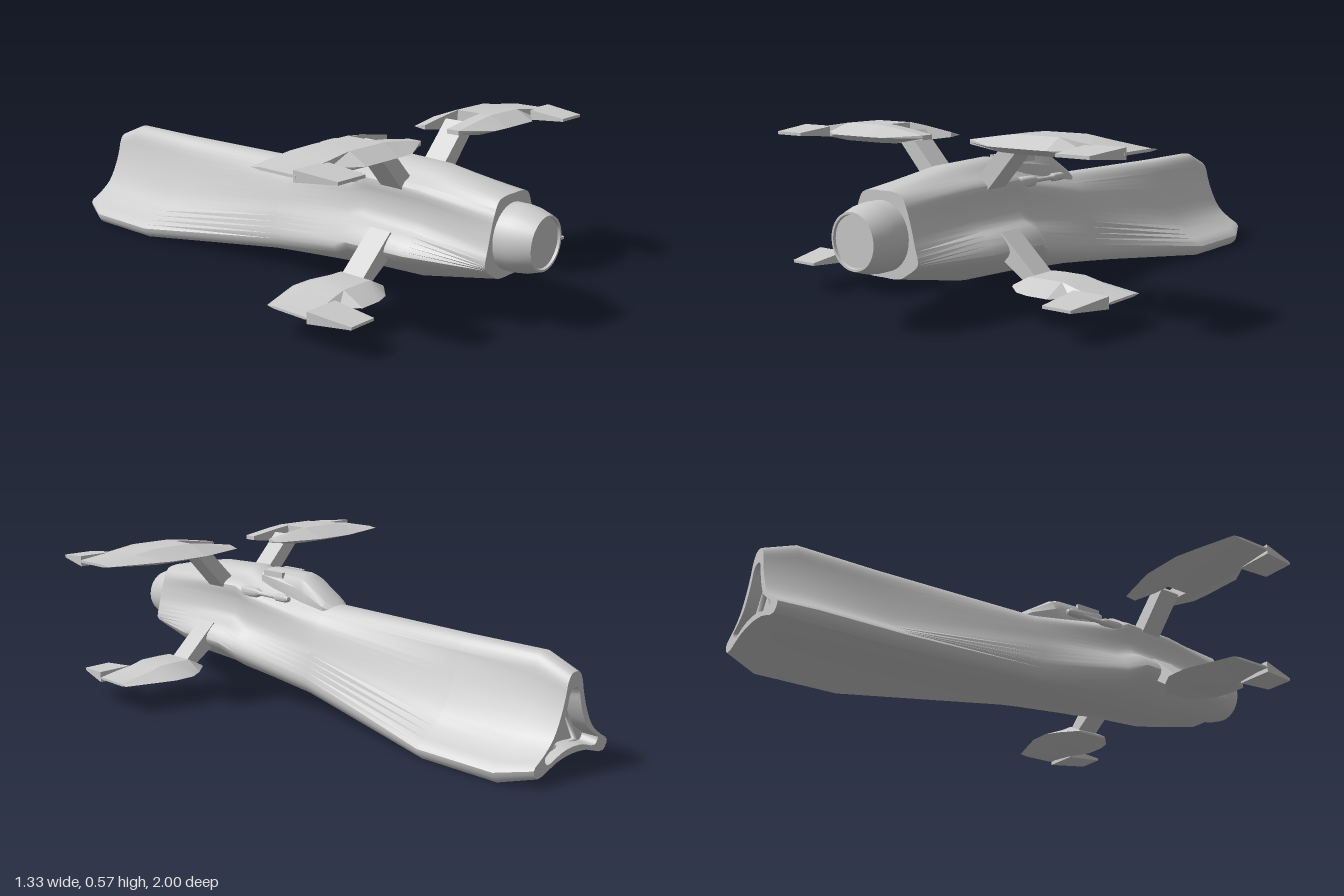
import * as THREE from 'three';
import { toCreasedNormals } from 'three/addons/utils/BufferGeometryUtils.js';

const material = new THREE.MeshStandardMaterial({ color: 0xcccccc, side: THREE.DoubleSide });
const V = (x, y, z) => new THREE.Vector3(x, y, z);

// Skins a row of closed cross-sections, caps both ends and faces them outward.
function loft(sections, crease = 0.3) {
  const tris = [];
  const n = sections[0].length;
  for (let s = 0; s < sections.length - 1; s++) {
    for (let i = 0; i < n; i++) {
      const j = (i + 1) % n, p = sections[s], q = sections[s + 1];
      tris.push([p[i], p[j], q[j]], [p[i], q[j], q[i]]);
    }
  }
  const cap = (sec, flip) => {
    const mid = sec.reduce((m, v) => m.add(v), V(0, 0, 0)).divideScalar(n);
    sec.forEach((v, i) => {
      const w = sec[(i + 1) % n];
      tris.push(flip ? [mid, w, v] : [mid, v, w]);
    });
  };
  cap(sections[0], true);
  cap(sections[sections.length - 1], false);
  const cross = V(0, 0, 0);
  const volume = tris.reduce((sum, [a, b, c]) => sum + a.dot(cross.crossVectors(b, c)), 0);
  const flat = [];
  for (const [a, b, c] of tris) {
    for (const v of volume > 0 ? [a, b, c] : [a, c, b]) flat.push(v.x, v.y, v.z);
  }
  const geometry = new THREE.BufferGeometry();
  geometry.setAttribute('position', new THREE.Float32BufferAttribute(flat, 3));
  return toCreasedNormals(geometry, crease);
}

function add(group, name, geometry) {
  const mesh = new THREE.Mesh(geometry, material);
  mesh.name = name;
  group.add(mesh);
  return mesh;
}

// Half profiles [x, y] of the hull, from the spine to the keel
const collar = [[0, .41], [.04, .41], [.08, .40], [.1, .365], [.115, .32], [.13, .26], [.142, .21], [.135, .195], [.1, .17], [.065, .152], [0, .15]];
const shoulder = [[0, .467], [.04, .46], [.08, .43], [.13, .40], [.125, .35], [.14, .28], [.19, .25], [.225, .2], [.19, .155], [.1, .1], [0, .09]];
const waist = [[0, .372], [.03, .368], [.06, .35], [.09, .32], [.11, .28], [.125, .23], [.14, .17], [.152, .11], [.13, .07], [.07, .065], [0, .065]];
const tail = [[0, .365], [.025, .36], [.045, .335], [.06, .28], [.085, .21], [.13, .13], [.19, .08], [.247, .04], [.222, .003], [.1, .035], [0, .045]];

const blend = (a, b, t) => a.map(([x, y], i) => [x + (b[i][0] - x) * t, y + (b[i][1] - y) * t]);
const shrink = (profile, k) => profile.map(([x, y]) => [x * k, 0.14 + (y - 0.14) * k]);

function hullGeometry() {
  const stations = [
    [0.88, collar],
    [0.62, blend(shoulder, collar, 0.15)],
    [0.40, shoulder],
    [0.33, blend(shoulder, waist, 0.35)],
    [0, waist],
    [-0.6, tail],
    [-0.89, tail],
    [-1, shrink(tail, 0.8)],
    // Recess in the tail face
    [-1, shrink(tail, 0.58)],
    [-0.95, shrink(tail, 0.53)],
  ];
  return loft(stations.map(([z, half]) => {
    const left = half.map(([x, y]) => V(x, y, z));
    const right = half.slice(1, -1).reverse().map(([x, y]) => V(-x, y, z));
    return new THREE.CatmullRomCurve3([...left, ...right], true).getPoints(60).slice(0, -1);
  }), 0.65);
}

// Blade stations: x, rear z, front z, top y, bottom y
const upperWing = {
  edge: 0.535, slotEnd: 0.285, flat: [0.46, 0.6],
  stations: [[.1, .42, .6, .545, .53], [.22, .385, .66, .563, .513], [.285, .367, .665, .57, .511],
    [.44, .365, .665, .57, .511], [.53, .387, .602, .557, .518], [.665, .425, .6, .54, .531]],
  prong: [[.53, .665, .59, .518, .554], [.525, .64, .733, .53, .54]],
  strut: [[.105, .40, .055], [.23, .535, .05]],
};
const lowerWing = {
  edge: 0.102, slotEnd: 0, flat: [0.46, 0.58],
  stations: [[.25, .455, .585, .106, .098], [.31, .4, .64, .138, .084], [.36, .37, .655, .14, .079],
    [.435, .37, .655, .14, .079], [.48, .385, .602, .128, .085], [.61, .43, .6, .106, .098]],
  prong: [[.485, .61, .59, .086, .124], [.48, .58, .735, .098, .107]],
  strut: [[.16, .23, .07], [.31, .112, .04]],
};
const slot = [0.465, 0.555];

function addWing(parent, name, wing, side) {
  const group = new THREE.Group();
  group.name = name;
  const { edge, flat, slotEnd, stations } = wing;
  const section = ([x, rear, front, top, bottom], part) => {
    const a = Math.max(flat[0], rear), b = Math.min(flat[1], front);
    const rearLine = [[a, bottom], [rear, edge], [a, top]];
    const frontLine = [[b, top], [front, edge], [b, bottom]];
    const points = part === 'front' ? [[slot[1], top], ...frontLine, [slot[1], bottom]]
      : part === 'rear' ? [[slot[0], bottom], ...rearLine, [slot[0], top]]
        : [...rearLine, ...frontLine];
    return points.map(([z, y]) => V(side * x, y, z));
  };
  const inner = stations.filter(s => s[0] <= slotEnd);
  const outer = stations.filter(s => s[0] >= slotEnd);
  add(group, 'blade', loft(outer.map(s => section(s, 'whole'))));
  // Two strips flank the open strut slot
  if (inner.length) {
    for (const part of ['front', 'rear']) add(group, part + 'SlotStrip', loft(inner.map(s => section(s, part))));
  }
  // Forward prong at the wing tip
  add(group, 'tipProng', loft(wing.prong.map(([x0, x1, z, y0, y1]) =>
    [V(side * x0, y0, z), V(side * x1, y0, z), V(side * x1, y1, z), V(side * x0, y1, z)])));
  // Tapered strut from the hull to the blade
  const [p, q] = wing.strut;
  const dir = new THREE.Vector2(q[0] - p[0], q[1] - p[1]).normalize();
  add(group, 'strut', loft(wing.strut.map(([x, y, t]) => [[1, .468], [1, .552], [-1, .552], [-1, .468]].map(
    ([k, z]) => V(side * (x - dir.y * k * t / 2), y + dir.x * k * t / 2, z)))));
  parent.add(group);
}

// Turned shape along z from [radius, z] points
function turned(profile, segments) {
  const g = new THREE.LatheGeometry(profile.map(([r, z]) => new THREE.Vector2(r, z)), segments);
  return toCreasedNormals(g.rotateX(Math.PI / 2), 0.6);
}

export function createModel() {
  const model = new THREE.Group();
  model.name = 'spacecraft';
  add(model, 'hull', hullGeometry());

  // Round nose with a slightly sunken front face
  const nose = add(model, 'nose', turned([[0, .86], [.107, .86], [.107, .92], [.102, .955], [.087, 1], [.08, 1], [.078, .992], [0, .992]], 32));
  nose.position.y = 0.275;

  // Canopy hump: z, half width, base y, top y
  const canopy = [[.33, .058, .42, .464], [.14, .062, .36, .466], [.11, .062, .35, .455], [.01, .058, .34, .39], [-.03, .035, .33, .365]];
  add(model, 'canopy', loft(canopy.map(([z, w, base, top]) =>
    [[-1, 0], [-1, .55], [-.72, .88], [-.3, 1], [.3, 1], [.72, .88], [1, .55], [1, 0]].map(
      ([x, h]) => V(x * w, base + (top - base) * h, z))), 0.5));

  for (const side of [1, -1]) {
    const label = side > 0 ? 'left' : 'right';
    addWing(model, label + 'UpperWing', upperWing, side);
    addWing(model, label + 'LowerWing', lowerWing, side);
    // Rail on the canopy roof
    const rail = add(model, label + 'RoofRail', new THREE.BoxGeometry(0.014, 0.02, 0.1));
    rail.position.set(side * 0.05, 0.452, 0.27);
    // Shoulder gun: muzzle, barrel and body
    const gun = add(model, label + 'Gun', turned([[0, .125], [.009, .13], [.014, .145], [.014, .19], [.008, .2],
      [.008, .28], [.018, .3], [.02, .36], [.012, .4], [0, .405]], 12));
    gun.position.set(side * 0.108, 0.385, 0);
  }

  // Triangular frame inside the tail recess
  const frame = add(model, 'tailFrame', new THREE.TorusGeometry(0.085, 0.01, 6, 3).rotateZ(Math.PI / 2));
  frame.position.set(0, 0.125, -0.96);
  return model;
}
